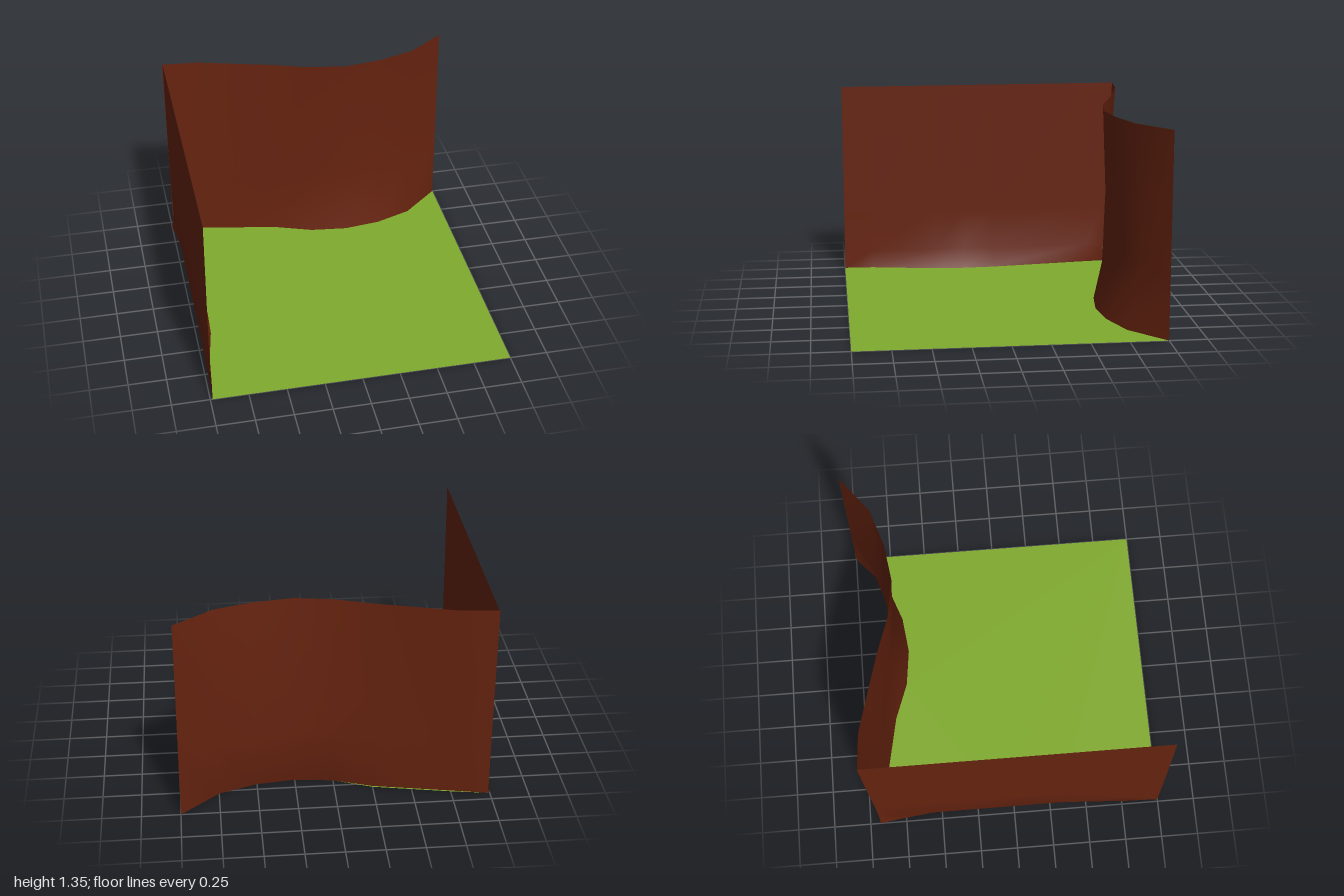
import * as THREE from 'three';

const brown = new THREE.MeshStandardMaterial({ color: 0x66230f, side: THREE.DoubleSide });
brown.name = 'brown wall';
const green = new THREE.MeshStandardMaterial({ color: 0x80ab2d, side: THREE.DoubleSide });
green.name = 'green floor';

// Smooth open sheet through rows of points, listed bottom to top
function sheet(name, rows) {
  const n = rows[0].length;
  const index = [];
  for (let r = 0; r < rows.length - 1; r++) {
    for (let i = 0; i < n - 1; i++) {
      const a = r * n + i, b = a + 1, c = a + n, d = c + 1;
      index.push(a, b, d, a, d, c);
    }
  }
  const geometry = new THREE.BufferGeometry();
  geometry.setAttribute('position', new THREE.Float32BufferAttribute(rows.flat(2), 3));
  geometry.setIndex(index);
  geometry.computeVertexNormals();
  const mesh = new THREE.Mesh(geometry, brown);
  mesh.name = name;
  return mesh;
}

export function createModel() {
  const group = new THREE.Group();
  group.name = 'terrainCorner';

  // Back wall: z along x at the foot, the waist and the rim
  const xs = [-0.99, -0.75, -0.5, -0.25, 0, 0.25, 0.5, 0.75, 1];
  const backProfile = [
    [0, [-0.93, -0.88, -0.83, -0.78, -0.69, -0.66, -0.69, -0.78, -1]],
    [0.42, [-0.94, -0.9, -0.86, -0.82, -0.78, -0.75, -0.79, -0.87, -1]],
    [1.35, [-0.98, -0.96, -0.89, -0.82, -0.735, -0.695, -0.73, -0.81, -1]],
  ];
  group.add(sheet('backWall', backProfile.map(([y, zs]) => xs.map((x, i) => [x, y, zs[i]]))));

  // Side wall: x along z, with the foot swelling inward
  const foot = [[1, -0.985], [0.8, -0.98], [0.34, -0.9], [0.12, -0.89], [-0.1, -0.9], [-0.8, -0.98]];
  const sideProfile = [
    [0, -0.93, foot.map((p) => p[1]).concat(-1)],
    [0.13, -0.93, Array(7).fill(-0.985)],
    [0.42, -0.94, Array(7).fill(-0.99)],
    [1.35, -0.98, Array(7).fill(-0.985)],
  ];
  group.add(sheet('sideWall', sideProfile.map(([y, zEnd, x]) =>
    foot.map((p) => p[0]).concat(zEnd).map((z, i) => [x[i], y, z]))));

  // Flat floor trimmed along the feet of both walls
  const outline = [[1, 1]];
  for (let i = xs.length - 1; i >= 0; i--) {
    const tuck = i > 0 && i < 4 ? 0.01 : 0;
    outline.push([xs[i], backProfile[0][1][i] - tuck]);
  }
  for (let i = foot.length - 1; i >= 0; i--) outline.push([foot[i][1], foot[i][0]]);
  const shape = new THREE.Shape(outline.map(([x, z]) => new THREE.Vector2(x, -z)));
  const floor = new THREE.Mesh(new THREE.ShapeGeometry(shape).rotateX(-Math.PI / 2), green);
  floor.name = 'floor';
  group.add(floor);

  return group;
}
